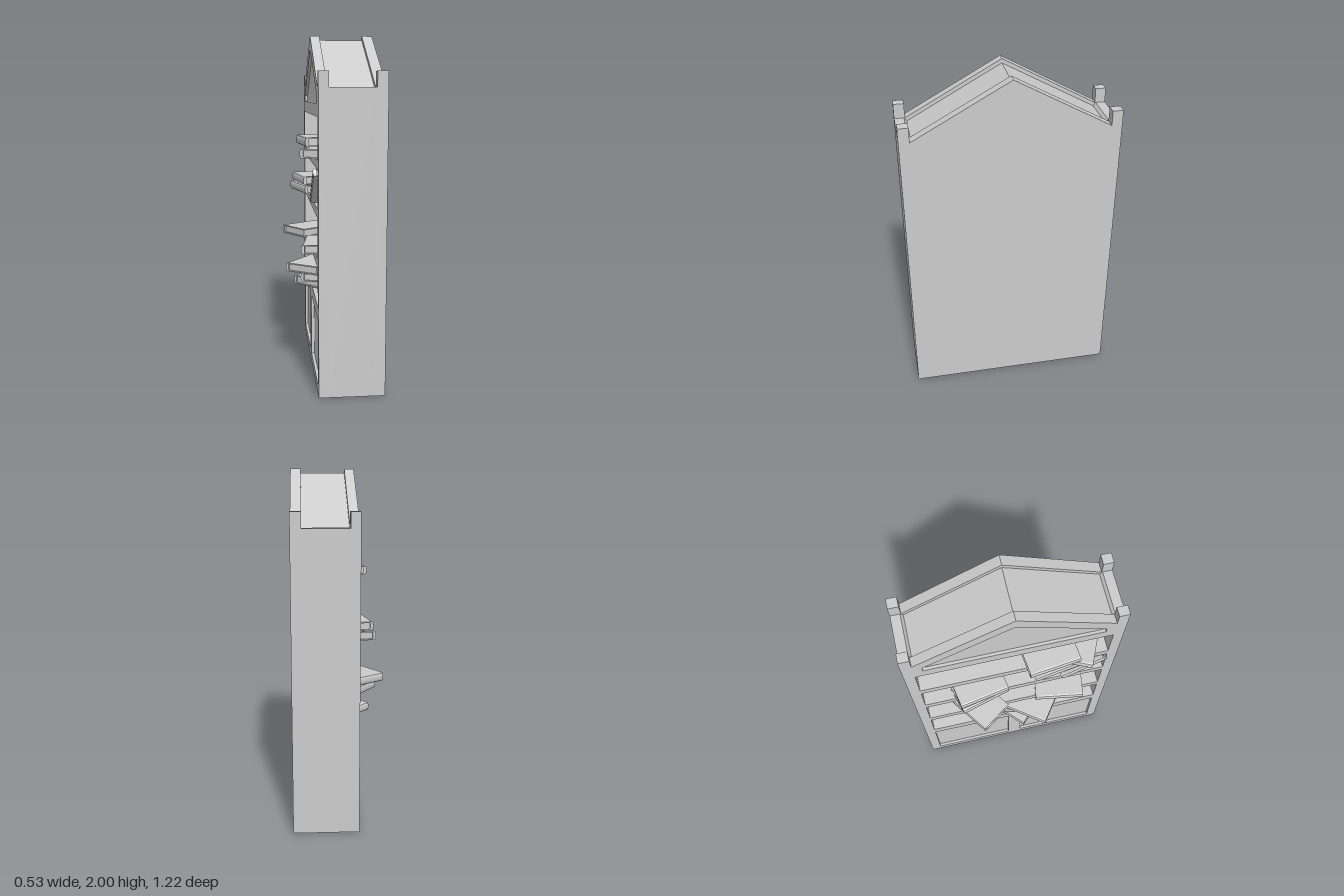
import * as THREE from 'three';

const material = new THREE.MeshStandardMaterial({ color: 0xcccccc });
const toShape = (points) => new THREE.Shape(points.map(([a, b]) => new THREE.Vector2(a, b)));
const rect = (z0, y0, z1, y1) => [[z0, y0], [z1, y0], [z1, y1], [z0, y1]];

// A slice of the cabinet: outline given as (z, y), filling x0..x1
function layer(name, outline, holes, x0, x1) {
  const shape = toShape(outline);
  shape.holes = holes.map(toShape);
  const geo = new THREE.ExtrudeGeometry(shape, { depth: x1 - x0, bevelEnabled: false });
  geo.rotateY(-Math.PI / 2);
  const mesh = new THREE.Mesh(geo, material);
  mesh.name = name;
  mesh.position.x = x1;
  return mesh;
}

// A closed book centred on its origin: spine at -x, length along z
function createBook(name, h = 0.052) {
  const L = 0.3, w = 0.11, t = 0.007, b = h / 2;
  const cover = new THREE.Shape();
  cover.moveTo(w, -b);
  cover.lineTo(w, -b + t);
  cover.lineTo(-w + 0.02, -b + t);
  cover.lineTo(-w + 0.02, b - t);
  cover.lineTo(w, b - t);
  cover.lineTo(w, b);
  cover.lineTo(-w + 0.012, b);
  cover.bezierCurveTo(-w - 0.004, b, -w - 0.004, -b, -w + 0.012, -b);
  cover.closePath();
  const coverGeo = new THREE.ExtrudeGeometry(cover, { depth: L, bevelEnabled: false, curveSegments: 6 });
  coverGeo.translate(0, 0, -L / 2);
  const coverMesh = new THREE.Mesh(coverGeo, material);
  coverMesh.name = 'bookCover';
  const pages = new THREE.Mesh(new THREE.BoxGeometry(2 * w - 0.03, h - 2 * t, L - 0.02), material);
  pages.name = 'bookPages';
  pages.position.x = 0.005;
  const book = new THREE.Group();
  book.name = name;
  book.add(coverMesh, pages);
  return book;
}

export function createModel() {
  const model = new THREE.Group();
  model.name = 'bookcase';

  // Cabinet outlines: gabled ends with corner posts, and a sunken roof between them
  const gable = [[-0.61, 0], [0.61, 0], [0.61, 1.78], [0.55, 1.78], [0.55, 1.695], [0, 2],
    [-0.55, 1.695], [-0.55, 1.78], [-0.61, 1.78]];
  const sunken = [[-0.61, 0], [0.61, 0], [0.61, 1.695], [0.555, 1.695], [0.54, 1.676], [0, 1.975],
    [-0.54, 1.676], [-0.555, 1.695], [-0.61, 1.695]];

  // Shelf openings, door panels and gable panel
  const openings = [[0.5, 0.72], [0.77, 0.995], [1.045, 1.26], [1.31, 1.54]]
    .map(([y0, y1]) => rect(-0.55, y0, 0.55, y1));
  const doors = [rect(-0.55, 0.05, -0.043, 0.43), rect(0.043, 0.05, 0.55, 0.43)];
  const gablePanel = [[-0.5, 1.61], [0.5, 1.61], [0.5, 1.648], [0, 1.925], [-0.5, 1.648]];

  model.add(
    layer('panelFrame', gable, [...openings, ...doors, gablePanel], -0.105, -0.087),
    layer('frontGable', gable, openings, -0.087, -0.05),
    layer('shelvesAndRoof', sunken, openings, -0.05, 0.205),
    layer('backPanel', gable, [], 0.205, 0.265),
  );

  // Books lying flat: x, z, underside y, turn
  const flatBooks = [
    [-0.026, 0.011, 0.503, -0.8], [-0.036, 0.092, 0.558, -0.25], [-0.088, 0.11, 0.613, -0.63],
    [-0.084, -0.225, 0.771, -0.96], [-0.056, 0.296, 0.771, -0.16],
    [-0.07, -0.218, 1.046, 0.27], [-0.065, -0.213, 1.101, 0.18],
    [-0.033, 0.338, 1.311, -0.42], [-0.068, 0.206, 1.368, 0.12],
  ];
  flatBooks.forEach(([x, z, y, turn], i) => {
    const book = createBook(`flatBook${i + 1}`);
    book.position.set(x, y + 0.026, z);
    book.rotation.y = turn;
    model.add(book);
  });

  // Books leaning against the side wall: x, y, z, slope
  [[-0.02, 1.157, 0.415, 0.64], [-0.005, 1.137, 0.27, 0.45]].forEach(([x, y, z, slope], i) => {
    const book = createBook(`leaningBook${i + 1}`);
    book.position.set(x, y, z);
    book.rotation.x = -slope;
    model.add(book);
  });

  return model;
}
